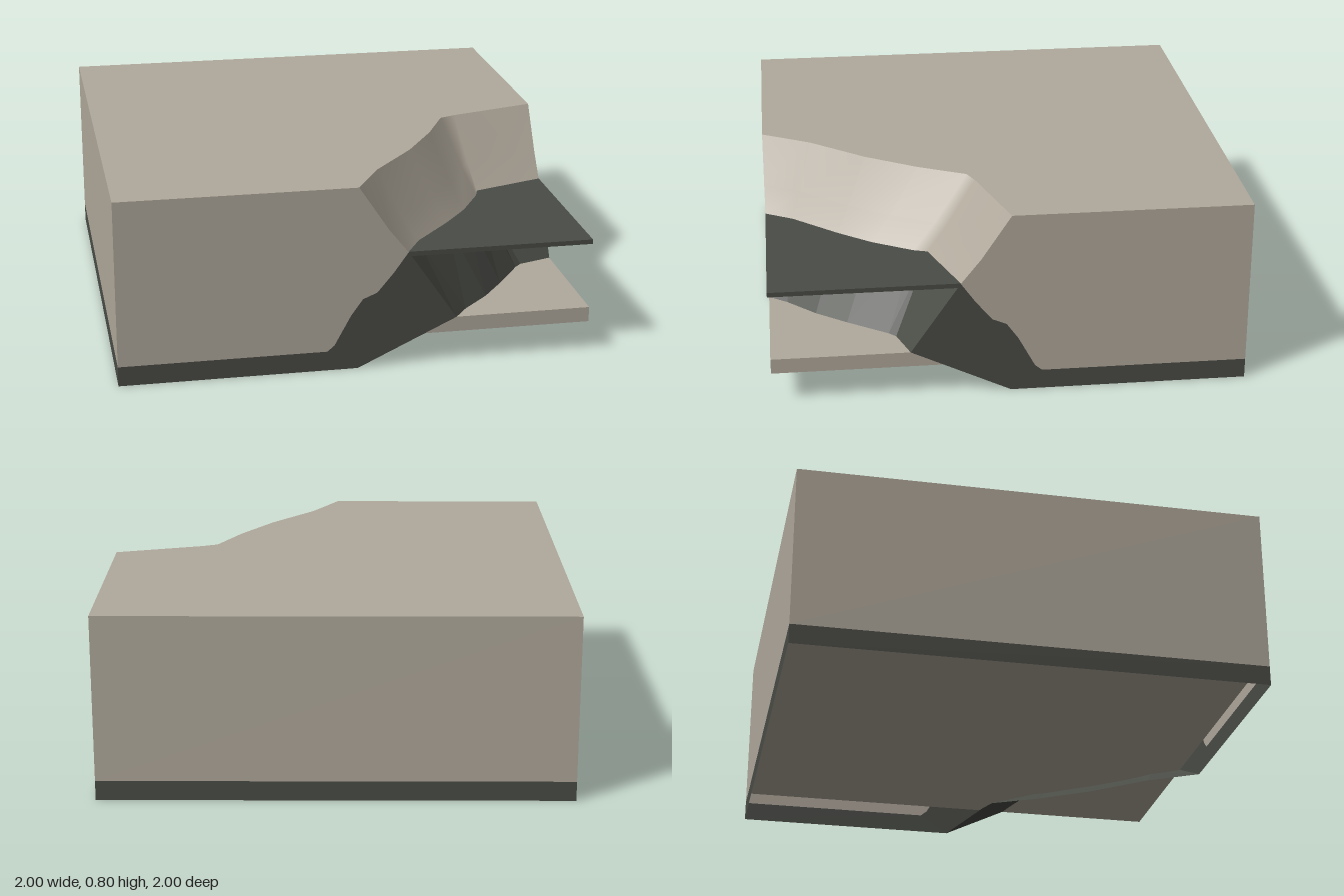
import * as THREE from 'three';

export function createModel() {
  const root = new THREE.Group();
  root.name = 'cutCornerBlock';
  const stone = new THREE.MeshStandardMaterial({ name: 'pale stone', color: 0xb1a99c, side: THREE.DoubleSide });
  const dark = new THREE.MeshStandardMaterial({ name: 'dark rock', color: 0x4a4c46, side: THREE.DoubleSide });

  const add = (name, geometry, material, parent = root) => {
    const mesh = new THREE.Mesh(geometry, material);
    mesh.name = name;
    parent.add(mesh);
    return mesh;
  };
  const shapeOf = (pts) => new THREE.Shape(pts.map(([x, y]) => new THREE.Vector2(x, y)));
  // Outline given as (x, z), laid flat with its face up
  const flatShape = (pts) => shapeOf(pts.map(([x, z]) => [x, -z]));

  // Contours of the cut corner as (x, z), at the rim, the ledge and the undercut
  const rim = [[0, 1], [0.12, 0.79], [0.31, 0.56], [0.45, 0.34], [0.55, 0.14], [0.62, 0.11], [1, 0]];
  const ledge = [[0.21, 1], [0.28, 0.88], [0.45, 0.69], [0.56, 0.55], [0.66, 0.38], [0.68, 0.32], [1, 0.21]];
  const foot = [[0.42, 1], [0.48, 0.92], [0.6, 0.8], [0.7, 0.67], [0.82, 0.5], [0.85, 0.47], [1, 0.42]];
  const middle = rim.map(([x, z], i) => [
    THREE.MathUtils.lerp(x, ledge[i][0], 0.6),
    THREE.MathUtils.lerp(z, ledge[i][1], 0.6),
  ]);

  // Surface through contours, listed from top to bottom as [contour, height]
  function band(rows, smooth) {
    const position = [], index = [], n = rim.length;
    rows.forEach(([pts, y]) => pts.forEach(([x, z]) => position.push(x, y, z)));
    for (let r = 0; r < rows.length - 1; r++) {
      for (let i = 0; i < n - 1; i++) {
        const a = r * n + i, b = a + n;
        index.push(a, b, a + 1, a + 1, b, b + 1);
      }
    }
    let g = new THREE.BufferGeometry();
    g.setAttribute('position', new THREE.Float32BufferAttribute(position, 3));
    g.setIndex(index);
    if (!smooth) g = g.toNonIndexed();
    g.computeVertexNormals();
    return g;
  }

  // Top and the eroded corner
  const top = new THREE.ShapeGeometry(flatShape([...rim, [1, -1], [-1, -1], [-1, 1]]));
  top.rotateX(-Math.PI / 2).translate(0, 0.8, 0);
  add('top', top, stone);
  add('upperSlope', band([[rim, 0.8], [middle, 0.61], [ledge, 0.505]], true), stone);
  add('undercut', band([[ledge, 0.505], [foot, 0.2]], false), dark);
  add('lowerSlope', band([[foot, 0.2], [rim, 0]], false), dark);

  // Thin ledge across the corner
  const plate = new THREE.ExtrudeGeometry(flatShape([...ledge, [1, 1]]), { depth: 0.02, bevelEnabled: false });
  plate.rotateX(-Math.PI / 2).translate(0, 0.487, 0);
  add('ledgePlate', plate, dark);

  // Slab inside the hollow base, exposed at the corner
  const slab = new THREE.BoxGeometry(1.998, 0.065, 1.998);
  add('floorSlab', slab, stone).position.y = 0.1675;

  // The two cut walls share one profile
  const seam = [[0.21, 0.505], [0.15, 0.42], [0.08, 0.335], [0.02, 0.31], [-0.03, 0.24], [-0.1, 0.11], [-0.13, 0.085], [-1, 0.085]];
  const upperCut = new THREE.ShapeGeometry(shapeOf([[-1, 0.8], [0, 0.8], [0.126, 0.61], ...seam]));
  const lowerCut = new THREE.ShapeGeometry(shapeOf([[-1, 0], [0, 0], [0.42, 0.2], ...seam]));
  const upperFull = new THREE.PlaneGeometry(2, 0.715).translate(0, 0.4425, 0);
  const lowerFull = new THREE.PlaneGeometry(2, 0.085).translate(0, 0.0425, 0);

  const wall = (name, upper, lower, turn, x, z) => {
    const group = new THREE.Group();
    group.name = name;
    group.rotation.y = turn;
    group.position.set(x, 0, z);
    add(name + 'Stone', upper, stone, group);
    add(name + 'Base', lower, dark, group);
    root.add(group);
  };
  wall('frontWall', upperCut, lowerCut, 0, 0, 1);
  wall('leftWall', upperCut, lowerCut, -Math.PI / 2, 1, 0);
  wall('backWall', upperFull, lowerFull, Math.PI, 0, -1);
  wall('rightWall', upperFull, lowerFull, -Math.PI / 2, -1, 0);

  return root;
}
